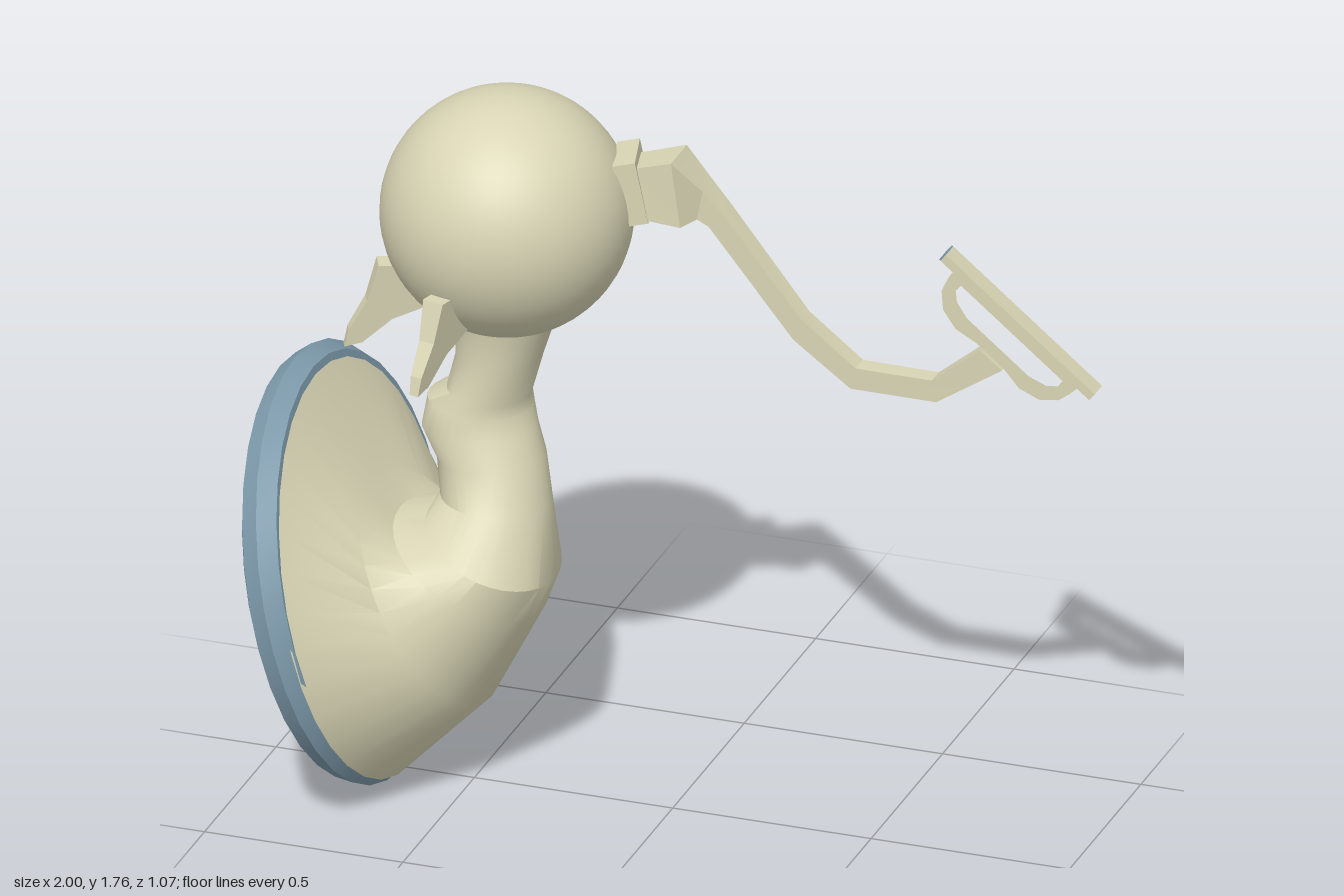
import * as THREE from 'three';
import { toCreasedNormals } from 'three/addons/utils/BufferGeometryUtils.js';

const cream = new THREE.MeshStandardMaterial({ color: 0xd8d4b4 });
cream.name = 'cream';
const blue = new THREE.MeshStandardMaterial({ color: 0x7d9aab });
blue.name = 'slate blue';

function part(name, geometry, material, parent) {
  const mesh = new THREE.Mesh(geometry, material);
  mesh.name = name;
  parent.add(mesh);
  return mesh;
}

// Skin over cross-sections. Each ring: [ax, ay, bx, by, z, halfWidth],
// where a and b are opposite ends of the section in the x-y plane.
function loft(rings, sides, square, crease) {
  const pos = [], index = [];
  for (const [ax, ay, bx, by, z, w] of rings) {
    for (let j = 0; j < sides; j++) {
      const t = ((j + (square ? 0.5 : 0)) / sides) * Math.PI * 2;
      const k = square ? Math.SQRT2 : 1;
      const c = Math.cos(t) * k, s = Math.sin(t) * k;
      pos.push((ax + bx) / 2 + (c * (ax - bx)) / 2, (ay + by) / 2 + (c * (ay - by)) / 2, z + s * w);
    }
  }
  const last = (rings.length - 1) * sides;
  for (let i = 0; i < last; i += sides) {
    for (let j = 0; j < sides; j++) {
      const n = (j + 1) % sides;
      index.push(i + j, i + n, i + sides + n, i + j, i + sides + n, i + sides + j);
    }
  }
  for (let j = 1; j < sides - 1; j++) {
    index.push(0, j + 1, j, last, last + j, last + j + 1);
  }
  const g = new THREE.BufferGeometry();
  g.setAttribute('position', new THREE.Float32BufferAttribute(pos, 3));
  g.setIndex(index);
  return toCreasedNormals(g, crease);
}

export function createModel() {
  const model = new THREE.Group();
  model.name = 'wallMountedArm';
  const centre = new THREE.Vector3(-0.452, 1.457, -0.095);

  // Round head
  part('head', new THREE.SphereGeometry(0.303, 48, 32), cream, model).position.copy(centre);

  // Flared base running into the bent neck
  part('baseAndNeck', loft([
    [-0.904, 1.005, -0.655, 0.02, 0, 0.51],
    [-0.755, 0.755, -0.455, 0.225, 0, 0.295],
    [-0.69, 0.68, -0.335, 0.46, -0.01, 0.235],
    [-0.61, 0.7, -0.3, 0.555, -0.01, 0.21],
    [-0.595, 0.735, -0.33, 0.73, -0.05, 0.138],
    [-0.615, 0.815, -0.355, 0.83, -0.08, 0.13],
    [-0.66, 0.88, -0.38, 0.9, -0.095, 0.125],
    [-0.65, 0.955, -0.395, 0.94, -0.11, 0.125],
    [-0.6, 0.99, -0.4, 0.975, -0.108, 0.117],
    [-0.575, 1.08, -0.365, 1.09, -0.097, 0.106],
    [-0.58, 1.17, -0.335, 1.18, -0.095, 0.108],
    [-0.61, 1.25, -0.3, 1.25, -0.095, 0.13],
  ], 32, false, 0.6), cream, model);

  // Round mounting pad with a shallow raised middle
  const profile = [[0, -0.035], [0.505, -0.035], [0.533, 0.006], [0.515, 0.05],
    [0.461, 0.075], [0.37, 0.07], [0.18, 0.078], [0, 0.112]];
  const pad = part('mountingPad', toCreasedNormals(new THREE.LatheGeometry(
    profile.map(([r, a]) => new THREE.Vector2(r, a)), 32), 0.35), blue, model);
  pad.position.set(-0.81, 0.52, 0);
  pad.quaternion.setFromUnitVectors(new THREE.Vector3(0, 1, 0), new THREE.Vector3(-0.967, -0.255, 0).normalize());

  // Two hooked fins under the head, thinner towards the tip
  const finShape = new THREE.Shape([[0.25, 1.335], [0.308, 1.335], [0.335, 1.24], [0.378, 1.165],
    [0.388, 1.12], [0.345, 1.13], [0.275, 1.19], [0.21, 1.215], [0.15, 1.25]]
    .map(([r, y]) => new THREE.Vector2(r, y - centre.y)));
  const finGeometry = new THREE.ExtrudeGeometry(finShape, { depth: 1, bevelEnabled: false });
  finGeometry.translate(0, 0, -0.5);
  const p = finGeometry.attributes.position;
  for (let i = 0; i < p.count; i++) {
    const t = (p.getY(i) + centre.y - 1.12) / 0.215;
    p.setZ(i, p.getZ(i) * (0.024 + 0.032 * t));
  }
  finGeometry.computeVertexNormals();
  [['sideFin', 0.43], ['frontFin', 1.31]].forEach(([name, angle]) => {
    const fin = part(name, finGeometry, cream, model);
    fin.position.copy(centre);
    fin.rotation.y = Math.PI + angle;
  });

  // Plate fixed to the head
  const plate = part('armPlate', new THREE.BoxGeometry(0.055, 0.16, 0.14), cream, model);
  plate.position.set(-0.165, 1.538, -0.178);
  plate.rotation.set(0, 0.26, 0.2);

  // Bracket and bent arm
  part('arm', loft([
    [-0.17, 1.595, -0.14, 1.475, -0.172, 0.052],
    [-0.053, 1.625, -0.03, 1.46, -0.19, 0.056],
    [0.01, 1.54, -0.005, 1.465, -0.218, 0.036],
    [0.06, 1.49, 0.025, 1.45, -0.213, 0.03],
    [0.262, 1.246, 0.24, 1.192, -0.203, 0.027],
    [0.4, 1.145, 0.387, 1.09, -0.195, 0.026],
    [0.593, 1.145, 0.604, 1.09, -0.192, 0.025],
    [0.715, 1.245, 0.77, 1.2, -0.19, 0.025],
  ], 4, true, 0.3), cream, model);

  // Handle at the arm's end: open D-shaped frame behind a flat bar
  const handle = new THREE.Group();
  handle.name = 'handle';
  handle.position.set(0.81, 1.32, -0.19);
  handle.rotation.z = -0.684;
  model.add(handle);
  const half = (pts) => [...pts, ...pts.slice().reverse().map(([u, v]) => [-u, v])]
    .map(([u, v]) => new THREE.Vector2(u, v));
  const frame = new THREE.Shape(half([[0.203, 0], [0.2, -0.033], [0.19, -0.072], [0.156, -0.108],
    [0.103, -0.123], [0.042, -0.112]]));
  frame.holes.push(new THREE.Path(half([[0.165, -0.025], [0.166, -0.045], [0.145, -0.066],
    [0.1, -0.08], [0.04, -0.08]])));
  const frameGeometry = new THREE.ExtrudeGeometry(frame, { depth: 0.044, bevelEnabled: false });
  frameGeometry.translate(0, 0, -0.022);
  part('handleFrame', frameGeometry, cream, handle);
  part('handleBar', new THREE.BoxGeometry(0.484, 0.022, 0.052), cream, handle);
  part('barEnd', new THREE.BoxGeometry(0.004, 0.022, 0.052), blue, handle).position.x = -0.244;

  return model;
}
